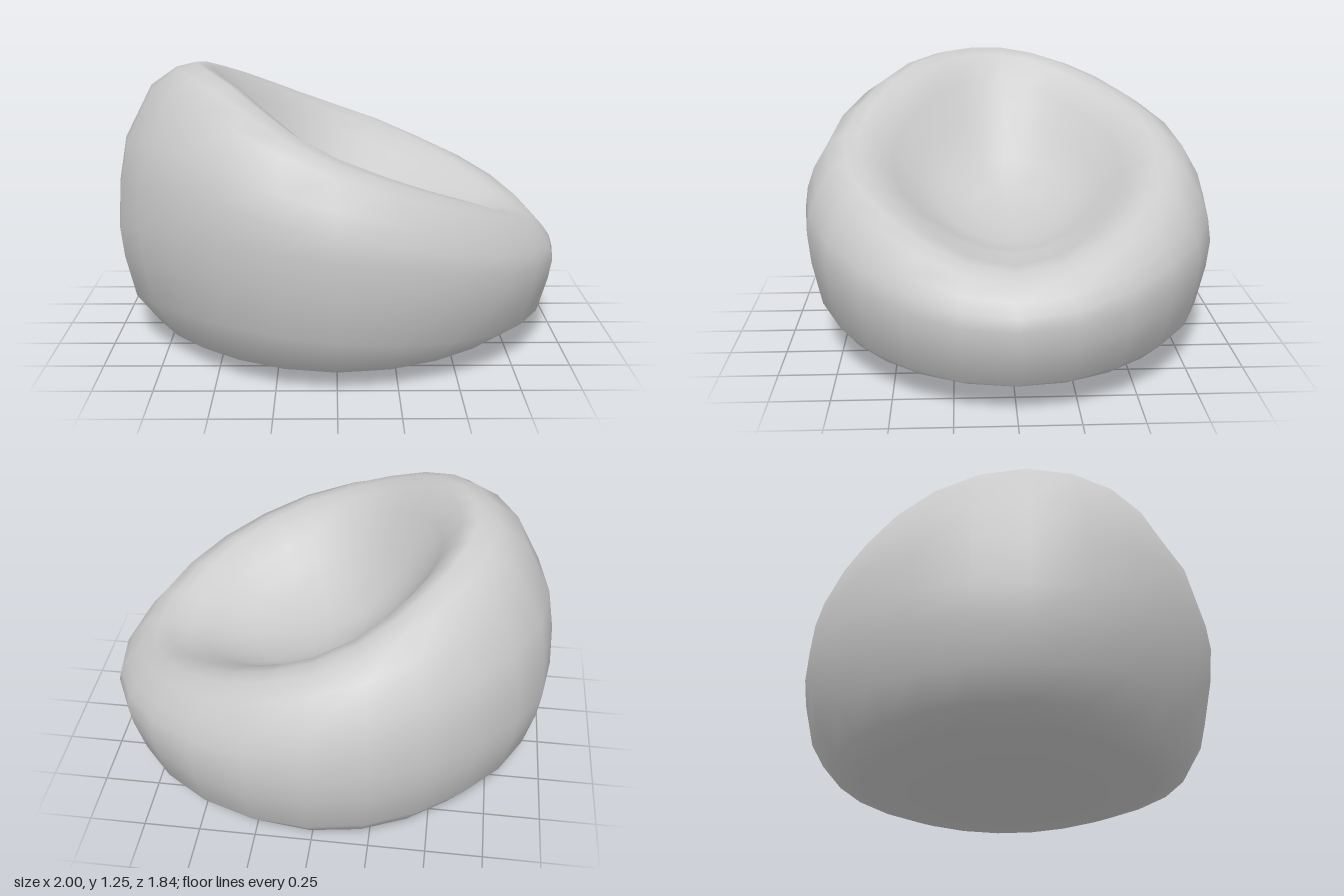
import * as THREE from 'three';

const SEGMENTS = 24;
const HALF_WIDTH = 1, HALF_DEPTH = 0.92;

// Values every 45 degrees, from +x towards +z
const RIM_HEIGHT = [0.57, 0.73, 0.95, 1.2, 1.24, 1.13, 0.93, 0.72];
const BULGE_HEIGHT = [0.38, 0.45, 0.6, 0.64, 0.5, 0.55, 0.52, 0.45];
const OUTLINE = [1, 0.97, 1, 0.95, 1, 0.97, 1, 0.99];
const HOLLOW_SIZE = [1.15, 1.15, 1.1, 1, 0.93, 0.95, 1.07, 1.12];

// Smooth periodic interpolation of the values above
function around(values, angle) {
  const n = values.length, s = (angle / (Math.PI * 2)) * n;
  const i = Math.floor(s), t = s - i;
  const [a, b, c, d] = [-1, 0, 1, 2].map((k) => values[(i + k + n) % n]);
  return b + 0.5 * t * (c - a + t * (2 * a - 5 * b + 4 * c - d + t * (3 * (b - c) + d - a)));
}

// Gently sloping floor of the seat hollow
const seatFloor = (x) => Math.max(0.52, 0.59 - 0.2 * x);

// Cross-section at one angle: [fraction of outline radius, height], underside to hollow
function crossSection(angle) {
  const rim = around(RIM_HEIGHT, angle), bulge = around(BULGE_HEIGHT, angle);
  const size = around(HOLLOW_SIZE, angle), crest = 0.66 * size;
  const up = (t) => bulge + (rim - bulge) * t;
  const shoulder = (t) => crest + (1 - crest) * t;
  const hollow = (r, t) => {
    const floor = seatFloor(r * size * Math.cos(angle));
    return [r * size, floor + (rim - floor) * t];
  };
  return [
    [0.45, 0.008], [0.7, 0.04], [0.84, 0.09], [0.94, 0.5 * bulge - 0.05],
    [0.985, 0.03 + 0.7 * bulge], [1, bulge], [0.985, up(0.28)], [0.95, up(0.54)],
    [shoulder(0.55), up(0.86)], [shoulder(0.25), up(0.97)], [crest, rim], [0.59 * size, rim - 0.025],
    hollow(0.51, 0.74), hollow(0.42, 0.45), hollow(0.3, 0.2), hollow(0.16, 0.05),
  ];
}

function beanBagGeometry() {
  const positions = [], indices = [];
  let rings = 0;

  // Columns of vertices around the bag
  for (let j = 0; j < SEGMENTS; j++) {
    const angle = (j / SEGMENTS) * Math.PI * 2;
    const section = crossSection(angle), outline = around(OUTLINE, angle);
    rings = section.length;
    for (const [r, y] of section) {
      positions.push(
        r * outline * HALF_WIDTH * Math.cos(angle), y, r * outline * HALF_DEPTH * Math.sin(angle));
    }
  }

  // Centre points of the underside and of the seat
  const bottom = SEGMENTS * rings, seat = bottom + 1;
  positions.push(0, 0, 0, 0, seatFloor(0), 0);

  for (let j = 0; j < SEGMENTS; j++) {
    const p = j * rings, q = ((j + 1) % SEGMENTS) * rings;
    indices.push(bottom, p, q);
    for (let i = 0; i < rings - 1; i++) {
      indices.push(p + i, p + i + 1, q + i, q + i, p + i + 1, q + i + 1);
    }
    indices.push(seat, q + rings - 1, p + rings - 1);
  }

  const geometry = new THREE.BufferGeometry();
  geometry.setAttribute('position', new THREE.Float32BufferAttribute(positions, 3));
  geometry.setIndex(indices);
  geometry.computeVertexNormals();
  return geometry;
}

export function createModel() {
  const group = new THREE.Group();
  group.name = 'beanBagChair';
  const bag = new THREE.Mesh(beanBagGeometry(), new THREE.MeshStandardMaterial({ color: 0xcccccc }));
  bag.name = 'beanBag';
  group.add(bag);
  return group;
}
